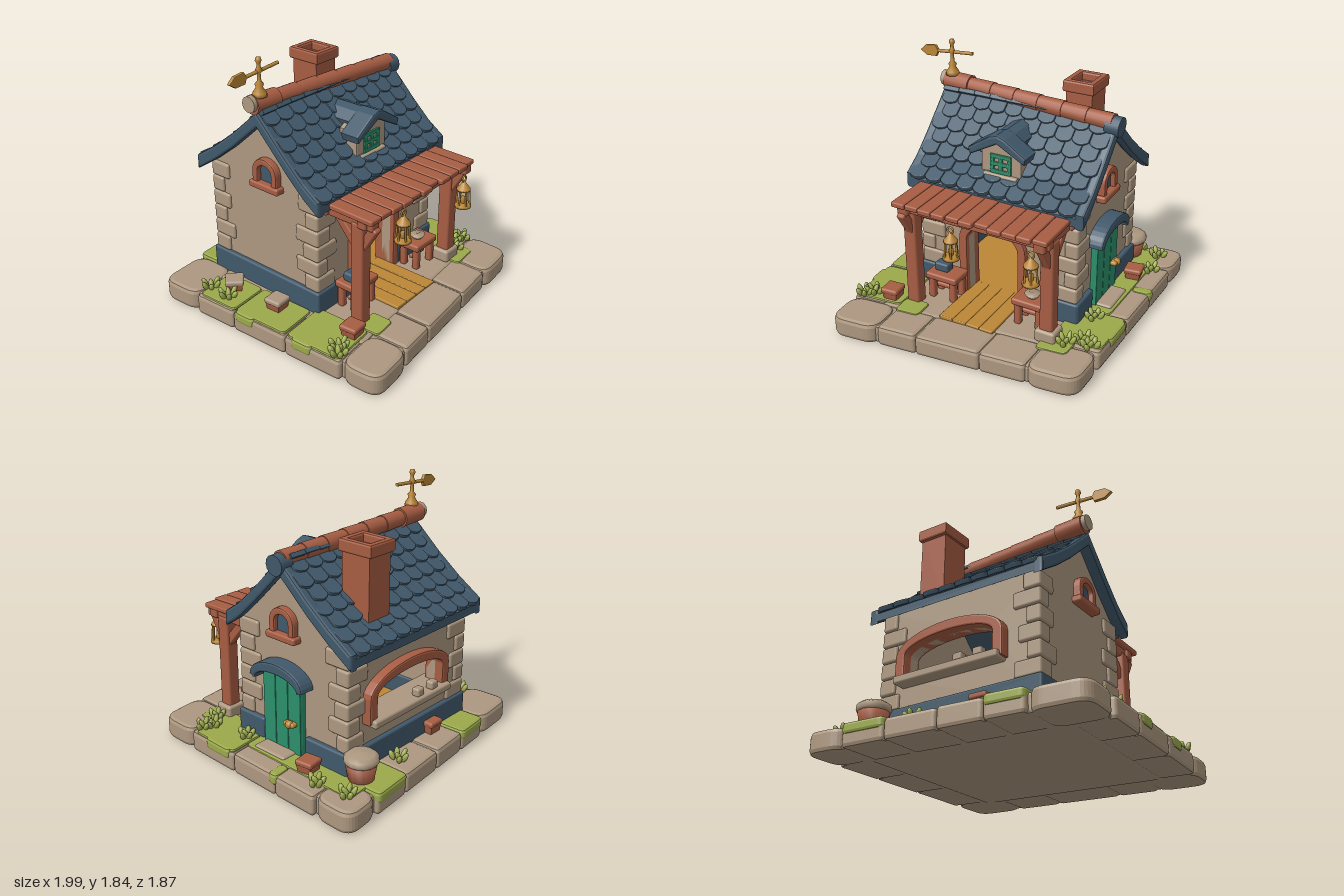
import * as THREE from 'three';
import { mergeGeometries } from 'three/addons/utils/BufferGeometryUtils.js';
import { RoundedBoxGeometry } from 'three/addons/geometries/RoundedBoxGeometry.js';

const material = (name, color) => Object.assign(new THREE.MeshStandardMaterial({ color }), { name });
const STONE = material('stone', 0xad9880), SLATE = material('slate', 0x41596b), BRICK = material('terracotta', 0xa75d43);
const GREEN = material('green paint', 0x2b8f6b), GRASS = material('grass', 0x9ba94b), BRASS = material('brass', 0xbb8736);
const V = (x, y, z) => new THREE.Vector3(x, y, z), vec2 = pts => pts.map(p => new THREE.Vector2(...p));
let seed = 7;
const rand = (a, b) => a + (b - a) * ((seed = (seed * 16807) % 2147483647) / 2147483647);

function add(parent, name, geo, mat, x = 0, y = 0, z = 0) {
  const m = new THREE.Mesh(geo, mat);
  m.name = name;
  m.position.set(x, y, z);
  parent.add(m);
  return m;
}
function group(parent, name, x = 0, y = 0, z = 0) {
  const g = new THREE.Group();
  g.name = name;
  g.position.set(x, y, z);
  parent.add(g);
  return g;
}
// rounded box given by its min and max on each axis
function box(p, name, mat, x0, x1, y0, y1, z0, z1, r = 0.015) {
  const s = [x1 - x0, y1 - y0, z1 - z0];
  return add(p, name, new RoundedBoxGeometry(...s, 2, Math.min(r, ...s.map(v => v * 0.45))), mat, (x0 + x1) / 2, (y0 + y1) / 2, (z0 + z1) / 2);
}
// square timber or round rod between two points
function between(p, name, mat, a, b, r0, r1 = r0, square = false) {
  const len = a.distanceTo(b);
  const geo = square ? new RoundedBoxGeometry(r0 * 2, len, r0 * 2, 2, 0.012) : new THREE.CylinderGeometry(r1, r0, len, 14);
  const m = add(p, name, geo, mat);
  m.position.copy(a).lerp(b, 0.5);
  m.quaternion.setFromUnitVectors(V(0, 1, 0), b.clone().sub(a).normalize());
}
const lathe = (p, name, mat, pts) => add(p, name, new THREE.LatheGeometry(vec2(pts), 16), mat);
const extrude = (shape, depth, bevel = 0.01) => new THREE.ExtrudeGeometry(shape, { depth: depth - 2 * bevel, bevelEnabled: bevel > 0,
  bevelSize: bevel, bevelThickness: bevel, bevelOffset: -bevel, bevelSegments: 2, curveSegments: 8 }).translate(0, 0, bevel);
const poly = pts => new THREE.Shape(vec2(pts));
// outline in [z, y], extruded along +x
const sideExtrude = (pts, depth, bevel) => extrude(poly(pts.map(([z, y]) => [-z, y])), depth, bevel).rotateY(Math.PI / 2);
// outline in [x, z] with rounded corners, extruded upward
function slab(pts, h, bevel, r) {
  const s = new THREE.Shape(), p = vec2(pts.map(([x, z]) => [x, -z]));
  p.forEach((c, i) => {
    const toward = o => c.clone().lerp(o, Math.min(0.45, r / c.distanceTo(o)));
    const a = toward(p[(i + 3) % 4]), b = toward(p[(i + 1) % 4]);
    i ? s.lineTo(a.x, a.y) : s.moveTo(a.x, a.y);
    s.quadraticCurveTo(c.x, c.y, b.x, b.y);
  });
  return extrude(s, h, bevel).rotateX(-Math.PI / 2);
}
// arch outline from right foot to left foot, and the open-footed frame around it
function archPts(hw, y0, spring, top, cx = 0) {
  const pts = [[cx + hw, y0]];
  for (let i = 0; i <= 16; i++) pts.push([cx + hw * Math.cos(Math.PI * i / 16), spring + (top - spring) * Math.sin(Math.PI * i / 16)]);
  return [...pts, [cx - hw, y0]];
}
const archFrame = (hw, y0, spring, top, w, depth) =>
  extrude(poly([...archPts(hw + w, y0, spring, top + w), ...archPts(hw, y0, spring, top).reverse()]), depth, 0.012);

function buildBase(root) {
  const base = group(root, 'base');
  const P = (u, v) => [(1 - v) * (-0.96 + 1.96 * u) + v * (-1 + 1.8 * u), (1 - v) * -0.935 + v * (0.93 - 0.05 * u)];
  const patch = (name, mat, [u0, u1, v0, v1], y, h, b, r) =>
    add(base, name, slab([P(u0, v1), P(u1, v1), P(u1, v0), P(u0, v0)], h, b, r), mat, 0, y, 0);
  patch('foundation', STONE, [0.02, 0.98, 0.02, 0.98], 0.004, 0.13, 0.02, 0.13);
  // rim stones: corners, back row, front row, left and right columns, paved middle
  [[0, 0.2, 0, 0.18], [0.85, 1, 0, 0.17], [0, 0.2, 0.84, 1], [0.8, 1, 0.82, 1]].forEach(r => patch('cornerSlab', STONE, r, 0, 0.152, 0.03, 0.11));
  [[0.2, 0.34, 0, 0.17], [0.34, 0.5, 0, 0.17], [0.5, 0.69, 0, 0.17], [0.69, 0.85, 0, 0.17],
    [0.2, 0.36, 0.84, 0.99], [0.36, 0.62, 0.84, 0.99], [0.62, 0.8, 0.84, 0.99], [0, 0.14, 0.18, 0.36], [0, 0.14, 0.36, 0.6], [0, 0.14, 0.6, 0.84],
    [0.86, 1, 0.17, 0.36], [0.86, 1, 0.36, 0.58], [0.86, 1, 0.58, 0.82], [0.13, 0.87, 0.16, 0.85]]
    .forEach(r => patch('rimStone', STONE, r, 0, 0.145 + rand(0, 0.008), 0.028, 0.03));
  // turf on top, with lobes hanging over the edge
  [[0.01, 0.17, 0.19, 0.36], [0.008, 0.17, 0.365, 0.595], [0.008, 0.2, 0.605, 0.83], [0.2, 0.3, 0.78, 0.87],
    [0.82, 0.93, 0.06, 0.58], [0.8, 0.995, 0.585, 0.8], [0.78, 0.9, 0.79, 0.88]].forEach(r => patch('grassPatch', GRASS, r, 0.135, 0.026, 0.012, 0.04));
  [[0.2, 0.34, -0.005, 0.18], [0.69, 0.85, -0.005, 0.18], [0.9, 1.006, 0.6, 0.735], [0.93, 1.005, 0.345, 0.39],
    [-0.005, 0.1, 0.37, 0.46], [-0.005, 0.1, 0.63, 0.72]].forEach(r => patch('hangingTurf', GRASS, r, 0.085, 0.076, 0.02, 0.04));
  // leafy tufts
  [[-0.84, -0.58], [-0.86, -0.4], [-0.87, 0.54], [-0.93, 0.58], [0.83, -0.78], [0.84, -0.55], [0.28, -0.79],
    [0.67, 0.2], [0.7, 0.48], [0.6, 0.55], [0.76, 0.52]].forEach(([x, z]) => {
    const t = group(base, 'grassTuft', x, 0.15, z);
    for (let i = 0; i < 6; i++) {
      const a = i * 1.05 + x, r = i ? 0.045 : 0;
      const leaf = add(t, 'leaf', new THREE.SphereGeometry(0.019, 8, 6), GRASS, r * Math.cos(a), 0.025, r * Math.sin(a));
      leaf.scale.set(1, rand(1.6, 2.6), 1);
      leaf.rotation.set(Math.sin(a) * 0.5, 0, -Math.cos(a) * 0.5);
    }
  });
}

function buildYard(root) {
  // small tapered stools with slab tops
  [[-0.72, 0.54, BRICK, 0], [-0.77, -0.04, STONE, 0], [-0.76, -0.43, STONE, 0.7], [0.75, -0.42, BRICK, 0.05], [-0.18, -0.74, BRICK, -0.08]].forEach(([x, z, top, turn]) => {
    const g = group(root, 'stool', x, 0.14, z);
    g.rotation.y = turn;
    const body = new THREE.CylinderGeometry(0.08, 0.065, 0.07, 4).toNonIndexed();
    body.computeVertexNormals();
    add(g, 'stoolBody', body.rotateY(Math.PI / 4), BRICK, 0, 0.035, 0);
    box(g, 'stoolTop', top, -0.065, 0.065, 0.065, 0.105, -0.065, 0.065);
  });
  // barrel with a stone lid
  const barrel = group(root, 'barrel', 0.62, 0.14, -0.74);
  lathe(barrel, 'barrelBody', BRICK, [[0, 0], [0.08, 0], [0.105, 0.14], [0, 0.14]]);
  lathe(barrel, 'barrelLid', STONE, [[0, 0.135], [0.105, 0.135], [0.115, 0.15], [0.112, 0.18], [0.085, 0.2], [0, 0.205]]);
}

// roof section as [z, y], front eave to back eave
const ROOF = [[0.55, 0.99], [0.42, 1.08], [0.28, 1.21], [0.035, 1.46], [-0.2, 1.25], [-0.38, 1.11], [-0.56, 0.99]];
const band = (lift, drop) => [...ROOF.map(([z, y]) => [z, y + lift]), ...ROOF.map(([z, y]) => [z, y - drop]).reverse()];

function buildRoof(house) {
  const roof = group(house, 'roof');
  add(roof, 'roofSlab', sideExtrude(band(0, 0.06), 1.26, 0), SLATE, -0.63);
  for (const x of [-0.68, 0.61]) add(roof, 'bargeboard', sideExtrude(band(0.03, 0.075), 0.07, 0.018), SLATE, x);
  // overlapping rounded shingles on both slopes
  const tiles = [], rows = 7, n = 10, w = 0.127, h = w * 0.49, tile = new THREE.Shape();
  tile.moveTo(h, 0.17).lineTo(-h, 0.17).lineTo(-h, 0.03).quadraticCurveTo(-h, 0, 0, -0.01).quadraticCurveTo(h, 0, h, 0.03);
  for (const side of [1, -1]) {
    const curve = new THREE.CatmullRomCurve3((side > 0 ? ROOF.slice(0, 4) : ROOF.slice(3).reverse()).map(([z, y]) => V(0, y, z)));
    for (let i = 0; i < rows * n; i++) {
      const r = Math.floor(i / n), up = curve.getTangentAt(r / rows), X = V(side, 0, 0), N = X.clone().cross(up);
      const p = curve.getPointAt(r / rows).addScaledVector(N, rand(0, 0.008));
      p.x = (i % n - (n - 1) / 2) * w + (r % 2 ? 0.02 : -0.02);
      tiles.push(extrude(tile, 0.034, 0.006).rotateX(-0.14).applyMatrix4(new THREE.Matrix4().makeBasis(X, up, N).setPosition(p)));
    }
  }
  add(roof, 'shingles', mergeGeometries(tiles), SLATE);
  // ridge tiles and end caps
  const a = V(-0.67, 1.53, 0), b = V(0.63, 1.475, 0.05);
  for (let i = 0; i < 7; i++)
    between(roof, 'ridgeTile', BRICK, a.clone().lerp(b, i / 7), a.clone().lerp(b, (i + 1.08) / 7), i ? 0.056 : 0.066, i ? 0.062 : 0.07);
  between(roof, 'ridgeCap', SLATE, V(0.6, 1.455, 0.05), V(0.7, 1.45, 0.05), 0.07);
  between(roof, 'ridgeCollar', STONE, V(-0.66, 1.54, 0), V(-0.7, 1.54, 0), 0.055);
  // chimney with an open top
  const ring = poly([[-0.1, -0.11], [0.1, -0.11], [0.1, 0.11], [-0.1, 0.11]]);
  ring.holes.push(new THREE.Path(vec2([[-0.06, -0.07], [-0.06, 0.07], [0.06, 0.07], [0.06, -0.07]])));
  const chimney = group(roof, 'chimney', 0.265, 0, -0.32);
  add(chimney, 'chimneyStack', extrude(ring, 0.5, 0.008).rotateX(-Math.PI / 2), BRICK, 0, 1.05, 0);
  add(chimney, 'chimneyRim', extrude(ring, 0.09, 0.015).rotateX(-Math.PI / 2).scale(1.16, 1, 1.2), BRICK, 0, 1.52, 0);
  box(chimney, 'chimneyFloor', BRICK, -0.08, 0.08, 1.36, 1.4, -0.09, 0.09);
  // dormer with a wide front gable and narrow saddle behind
  const d = group(roof, 'dormer', 0.005, 0, 0);
  const chevron = (hw, y) => poly([[-hw, y], [0, 1.345], [hw, y], [hw + 0.015, y + 0.05], [0.06, 1.39], [0, 1.41], [-0.06, 1.39], [-hw - 0.015, y + 0.05]]);
  add(d, 'dormerBody', extrude(poly([[-0.155, 1.06], [0.155, 1.06], [0.15, 1.28], [0, 1.36], [-0.15, 1.28]]), 0.15), STONE, 0, 0, 0.27);
  add(d, 'dormerRoof', extrude(chevron(0.205, 1.235), 0.15, 0.015), SLATE, 0, 0, 0.335);
  add(d, 'dormerSaddle', extrude(chevron(0.1, 1.28), 0.36, 0.01), SLATE, 0, -0.008, 0);
  box(d, 'saddleFill', SLATE, -0.1, 0.1, 1.15, 1.29, 0.05, 0.3);
  box(d, 'dormerSill', STONE, -0.13, 0.13, 1.07, 1.11, 0.38, 0.45);
  for (const x of [-0.065, 0, 0.065]) box(d, 'windowBar', GREEN, x - 0.015, x + 0.015, 1.12, 1.24, 0.415, 0.43, 0.004);
  for (const y of [1.125, 1.18, 1.235]) box(d, 'windowRail', GREEN, -0.079, 0.079, y - 0.014, y + 0.014, 0.415, 0.432, 0.004);
}

function buildWalls(house) {
  const g = group(house, 'walls');
  // front wall notched by the doorway, back wall pierced by the servery window
  const front = poly([[-0.6, 0.13], ...archPts(0.2, 0.13, 0.58, 0.71, -0.03).reverse(), [0.6, 0.13], [0.6, 1.01], [-0.6, 1.01]]);
  const back = poly([[-0.6, 0.13], [0.6, 0.13], [0.6, 1.01], [-0.6, 1.01]]);
  back.holes.push(new THREE.Path(vec2(archPts(0.34, 0.48, 0.64, 0.73, 0.04))));
  add(g, 'frontWall', extrude(front, 0.07, 0), STONE, 0, 0, 0.4);
  add(g, 'backWall', extrude(back, 0.07, 0), STONE, 0, 0, -0.47);
  const gable = [[0.47, 0.13], [0.47, 1], [0.28, 1.16], [0.035, 1.41], [-0.2, 1.2], [-0.38, 1.06], [-0.47, 1], [-0.47, 0.13]];
  for (const x of [-0.6, 0.53]) add(g, 'gableWall', sideExtrude(gable, 0.07, 0), STONE, x);
  add(g, 'frontArch', archFrame(0.2, 0.14, 0.58, 0.71, 0.065, 0.17), BRICK, -0.03, 0, 0.335);
  add(g, 'backWindowFrame', archFrame(0.34, 0.46, 0.64, 0.73, 0.075, 0.15), BRICK, 0.04, 0, -0.535);
  box(g, 'serveryCounter', STONE, -0.36, 0.44, 0.44, 0.495, -0.57, -0.34);
  for (const x of [-0.2, -0.05]) box(g, 'counterJar', STONE, x - 0.035, x + 0.035, 0.49, 0.55, -0.55, -0.49);
  // stepped corner stones
  for (const sx of [-1, 1]) for (const sz of [-1, 1]) for (let i = 0; i < 6; i++) {
    const lx = (i % 2 ? 0.05 : 0.08) + rand(0, 0.02), lz = (i % 2 ? 0.08 : 0.05) + rand(0, 0.02), y = 0.3 + i * 0.115;
    box(g, 'cornerStone', STONE, -lx, lx, y, y + 0.113, -lz, lz, 0.018).position.set(sx * (0.618 - lx), y + 0.0565, sz * (0.488 - lz));
  }
  // plinth, split at the two doorways
  [[-0.63, -0.29, 0.38, 0.5], [0.23, 0.63, 0.38, 0.5], [-0.63, 0.63, -0.5, -0.38], [-0.63, -0.52, -0.48, 0.48], [0.52, 0.635, 0.25, 0.495],
    [0.52, 0.635, -0.495, -0.13]].forEach(([a, b, c, d]) => box(g, 'plinth', SLATE, a, b, 0.13, 0.305, c, d));
  // side door, step and curved hood
  box(g, 'sideDoor', GREEN, 0.515, 0.64, 0.15, 0.69, -0.11, 0.23);
  for (let i = 0; i < 3; i++) box(g, 'doorPlank', GREEN, 0.62, 0.648, 0.155, 0.685, -0.108 + i * 0.113, 0.003 + i * 0.113, 0.005);
  box(g, 'doorstep', STONE, 0.62, 0.76, 0.13, 0.175, -0.06, 0.22, 0.02);
  add(g, 'doorKnob', new THREE.SphereGeometry(0.028, 12, 8), BRASS, 0.68, 0.385, -0.04);
  box(g, 'doorHandle', BRASS, 0.645, 0.695, 0.368, 0.402, -0.085, 0.01);
  const arc = (hw, y, rise) => archPts(hw, y - 0.001, y, y + rise, 0.06);
  add(g, 'doorHood', sideExtrude([...arc(0.24, 0.655, 0.135), ...arc(0.19, 0.64, 0.075).reverse()], 0.13, 0.015), SLATE, 0.58);
  // arched attic windows
  for (const s of [-1, 1]) {
    const w = group(g, 'atticWindow', s * 0.575, 0, 0.055);
    w.rotation.y = s * Math.PI / 2;
    add(w, 'atticFrame', archFrame(0.06, 0.96, 1.06, 1.11, 0.048, 0.075), BRICK);
    add(w, 'atticPane', extrude(poly(archPts(0.07, 0.96, 1.06, 1.12)), 0.04, 0), SLATE);
    box(w, 'atticSill', BRICK, -0.13, 0.13, 0.935, 0.985, 0, 0.09);
  }
  for (let i = 0; i < 4; i++) box(g, 'porchBoard', BRASS, -0.24 + i * 0.105, -0.137 + i * 0.105, 0.135, 0.165, 0.36, 0.86, 0.006);
  box(g, 'interiorFloor', BRASS, -0.54, 0.54, 0.13, 0.16, -0.4, 0.4);
}

function buildLantern(parent, x, y, z) {
  const g = group(parent, 'lantern', x, y, z);
  lathe(g, 'lanternBase', BRASS, [[0, 0], [0.058, 0], [0.058, 0.018], [0.045, 0.03], [0, 0.03]]);
  lathe(g, 'lanternCap', BRASS, [[0, 0.13], [0.05, 0.13], [0.048, 0.142], [0.022, 0.175], [0.01, 0.195], [0, 0.195]]);
  lathe(g, 'candle', BRASS, [[0, 0.03], [0.016, 0.03], [0.016, 0.075], [0, 0.085]]);
  for (let a = 0; a < 6; a += Math.PI / 3)
    between(g, 'lanternBar', BRASS, V(0.048 * Math.cos(a), 0.02, 0.048 * Math.sin(a)), V(0.04 * Math.cos(a), 0.135, 0.04 * Math.sin(a)), 0.007);
  add(g, 'lanternRing', new THREE.TorusGeometry(0.022, 0.007, 6, 14), BRASS, 0, 0.215, 0);
}

function buildPorch(house) {
  const g = group(house, 'porch');
  // plank awning on beams and posts
  for (let i = 0; i < 11; i++)
    box(g, 'awningPlank', BRICK, -0.57 + i * 0.105, -0.468 + i * 0.105, 0.935, 0.97 + rand(0, 0.006), 0.44, 0.88 + rand(-0.015, 0.02), 0.01).rotation.x = 0.02;
  box(g, 'frontBeam', BRICK, -0.56, 0.58, 0.875, 0.94, 0.76, 0.83);
  box(g, 'wallBeam', BRICK, -0.57, 0.59, 0.875, 0.95, 0.46, 0.52);
  for (const [x, z] of [[-0.5, 0.75], [0.525, 0.71]]) {
    box(g, 'post', BRICK, x - 0.048, x + 0.048, 0.14, 0.9, z - 0.048, z + 0.048);
    box(g, 'sideBeam', BRICK, x - 0.04, x + 0.04, 0.87, 0.94, 0.46, 0.87);
    for (const dz of [-0.17, 0.12]) between(g, 'brace', BRICK, V(x, 0.69, z), V(x, 0.89, z + dz), 0.03, 0, true);
  }
  box(g, 'postFooting', STONE, 0.45, 0.6, 0.14, 0.235, 0.64, 0.78, 0.02);
  buildLantern(g, -0.15, 0.62, 0.82);
  buildLantern(g, 0.475, 0.64, 0.87);
  // two side tables
  for (const [x0, x1] of [[-0.47, -0.22], [0.22, 0.46]]) {
    box(g, 'tableTop', BRICK, x0, x1, 0.295, 0.345, 0.5, 0.68);
    for (const x of [x0 + 0.04, x1 - 0.04]) for (const z of [0.535, 0.645]) box(g, 'tableLeg', BRICK, x - 0.025, x + 0.025, 0.14, 0.31, z - 0.025, z + 0.025);
    box(g, 'tableRail', BRICK, x0 + 0.04, x1 - 0.04, 0.2, 0.235, 0.575, 0.605);
  }
  box(g, 'crate', SLATE, -0.43, -0.32, 0.34, 0.405, 0.54, 0.62);
  lathe(g, 'bowl', STONE, [[0, 0], [0.035, 0], [0.055, 0.03], [0, 0.025]]).position.set(0.34, 0.343, 0.59);
}

function buildVane(root) {
  const g = group(root, 'weatherVane', -0.615, 1.58, -0.25);
  lathe(g, 'spindle', BRASS, [[0, 0], [0.05, 0], [0.045, 0.025], [0.022, 0.06], [0.03, 0.08], [0.014, 0.1], [0.012, 0.15], [0.024, 0.17],
    [0.013, 0.195], [0.012, 0.215], [0.022, 0.235], [0.016, 0.255], [0, 0.26]]);
  const arrow = group(g, 'arrow', 0, 0.165, 0);
  arrow.rotation.set(0, -0.08, 0.07);
  between(arrow, 'arrowRod', BRASS, V(-0.16, 0, 0), V(0.17, 0, 0), 0.012);
  add(arrow, 'arrowHead', extrude(poly([[-0.26, 0], [-0.21, -0.038], [-0.13, -0.04], [-0.11, 0], [-0.13, 0.04], [-0.21, 0.038]]), 0.026, 0.005), BRASS, 0, 0, -0.013);
}

export function createModel() {
  const root = group(new THREE.Group(), 'cottage').removeFromParent();
  buildBase(root);
  buildYard(root);
  const house = group(root, 'house', 0, 0, -0.22);
  house.rotation.y = -0.08;
  [buildWalls, buildRoof, buildPorch].forEach(build => build(house));
  buildVane(root);
  return root;
}
